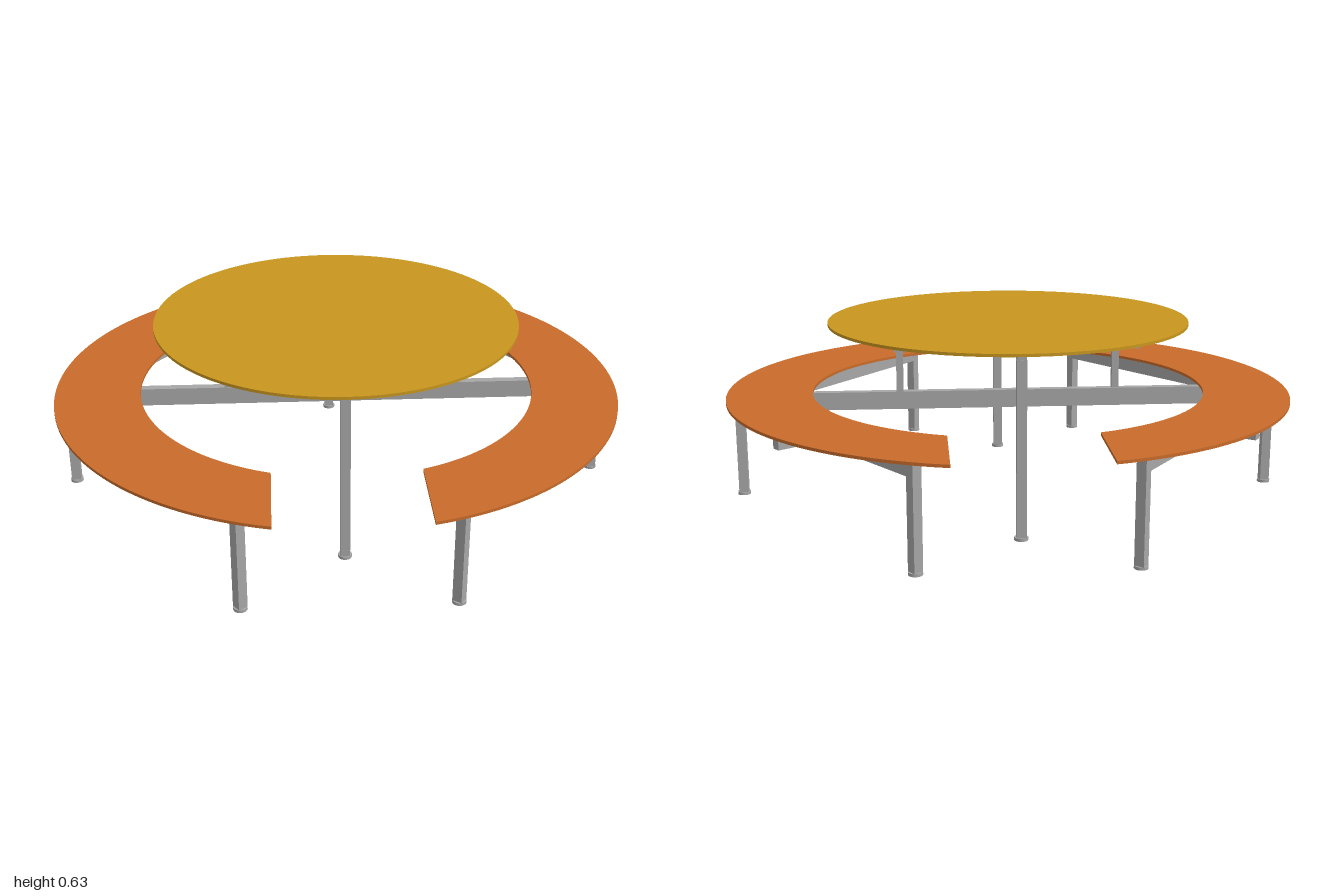
import * as THREE from 'three';

const make = (name, color) => {
  const m = new THREE.MeshStandardMaterial({ color });
  m.name = name;
  return m;
};

export function createModel() {
  const gold = make('gold top', 0xc8961e);
  const orange = make('orange seat', 0xc96b2a);
  const steel = make('grey steel', 0xa6a6a6);
  const model = new THREE.Group();

  const add = (name, geometry, material, x, y, z, turn = 0) => {
    const mesh = new THREE.Mesh(geometry, material);
    mesh.name = name;
    mesh.position.set(x, y, z);
    mesh.rotation.y = turn;
    model.add(mesh);
    return mesh;
  };

  // Horizontal bar between two floor-plan points, from height y0 to y1
  const bar = (name, [x1, z1], [x2, z2], y0, y1, width) => {
    const length = Math.hypot(x2 - x1, z2 - z1);
    add(name, new THREE.BoxGeometry(length, y1 - y0, width), steel,
      (x1 + x2) / 2, (y0 + y1) / 2, (z1 + z2) / 2, -Math.atan2(z2 - z1, x2 - x1));
  };

  // Square upright
  const post = (name, x, z, y0, y1, size, turn = 0) =>
    add(name, new THREE.BoxGeometry(size, y1 - y0, size), steel, x, (y0 + y1) / 2, z, turn);

  // Leg with a round foot
  const leg = (name, x, z, top, turn = 0) => {
    post(name, x, z, 0.008, top, 0.033, turn);
    add('foot', new THREE.CylinderGeometry(0.023, 0.023, 0.01, 20), steel, x, 0.005, z);
  };

  // Round table top
  add('tableTop', new THREE.CylinderGeometry(0.64, 0.64, 0.01, 96), gold, 0, 0.63, 0);

  // Quarter seat panel: ring sector with its end cut straight at x = 0.24
  const seatPanel = (sx, sz) => {
    const outer = Math.acos(0.24), inner = Math.acos(0.24 / 0.7), n = 32;
    const points = [];
    for (let i = 0; i <= n; i++) {
      const a = outer * i / n;
      points.push(new THREE.Vector2(sx * Math.cos(a), sz * Math.sin(a)));
    }
    for (let i = n; i >= 0; i--) {
      const a = inner * i / n;
      points.push(new THREE.Vector2(sx * 0.7 * Math.cos(a), sz * 0.7 * Math.sin(a)));
    }
    const g = new THREE.ExtrudeGeometry(new THREE.Shape(points), { depth: 0.01, bevelEnabled: false });
    g.rotateX(Math.PI / 2);
    add('seatPanel', g, orange, 0, 0.385, 0);
  };

  // Main cross beam under the table
  bar('crossBeam', [-0.96, 0], [0.96, 0], 0.31, 0.374, 0.03);

  for (const sx of [-1, 1]) {
    leg('outerLeg', sx * 0.963, 0, 0.374);
    post('tablePost', sx * 0.39, 0, 0.374, 0.6, 0.025);
    bar('sideRail', [sx * 0.39, -0.4], [sx * 0.39, 0.4], 0.6, 0.622, 0.025);

    for (const sz of [-1, 1]) {
      seatPanel(sx, sz);

      // Seat beam from the outer leg to the end leg
      const hinge = [sx * 0.963, 0], end = [sx * 0.345, sz * 0.835];
      const turn = -Math.atan2(end[1] - hinge[1], end[0] - hinge[0]);
      bar('seatBeam', hinge, end, 0.31, 0.374, 0.032);
      leg('endLeg', end[0], end[1], 0.374, turn);

      // Bracket reaching outward from the middle of the seat beam
      const nx = sx * 0.804, nz = sz * 0.595;
      const at = (t, out) => [
        hinge[0] + (end[0] - hinge[0]) * t + nx * out,
        hinge[1] + (end[1] - hinge[1]) * t + nz * out,
      ];
      bar('seatBracket', at(0.5, 0), at(0.5, 0.16), 0.31, 0.374, 0.032);

      // Flat fixing tabs under the seat
      for (const t of [0.3, 0.92]) bar('seatTab', at(t, -0.055), at(t, 0.055), 0.368, 0.3755, 0.035);
      const [bx, bz] = at(0.5, 0.14);
      add('bracketTab', new THREE.BoxGeometry(0.1, 0.0075, 0.035), steel, bx, 0.3718, bz, turn);
    }
  }

  // Table legs, the rail joining them and the end rails of the top frame
  bar('centreRail', [0, -0.575], [0, 0.575], 0.598, 0.624, 0.03);
  for (const sz of [-1, 1]) {
    leg('tableLeg', 0, sz * 0.559, 0.6);
    bar('endRail', [-0.4025, sz * 0.4], [0.4025, sz * 0.4], 0.6, 0.622, 0.025);
    for (const x of [-0.2, 0.2])
      add('topTab', new THREE.BoxGeometry(0.025, 0.008, 0.07), steel, x, 0.621, sz * 0.4);
  }

  return model;
}
